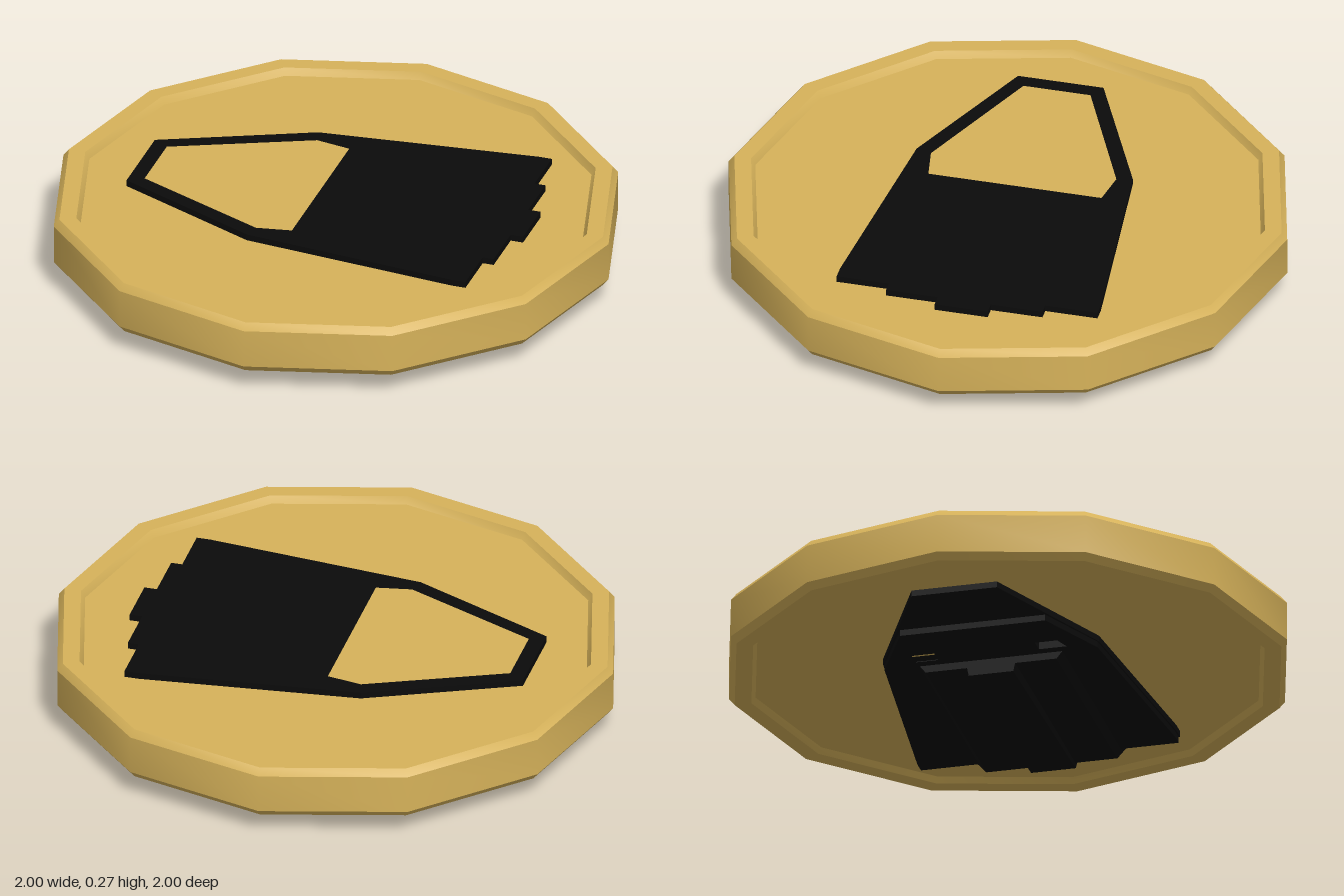
import * as THREE from 'three';
import { toCreasedNormals } from 'three/addons/utils/BufferGeometryUtils.js';

const gold = new THREE.MeshStandardMaterial({ color: 0xd6b25a });
const black = new THREE.MeshStandardMaterial({ color: 0x0b0b0b });
const MID_Z = -0.01; // centre line of the reliefs

// Closed outline from half of its corners, mirrored across the centre line
function mirrored(half, Type = THREE.Shape) {
  const pts = half.map(([x, z]) => new THREE.Vector2(x, MID_Z + z));
  const other = half.map(([x, z]) => new THREE.Vector2(x, MID_Z - z)).reverse();
  return new Type([...pts, ...other]);
}

// Flat plate lying between two heights
function plate(name, shape, bottom, top) {
  const geo = new THREE.ExtrudeGeometry(shape, { depth: top - bottom, bevelEnabled: false });
  geo.rotateX(Math.PI / 2).translate(0, top, 0);
  const mesh = new THREE.Mesh(geo, black);
  mesh.name = name;
  return mesh;
}

// Raised block with a narrower underside that slopes from y0 (at x0) to y1 (at x1)
function keel(name, x0, x1, halfTop, halfBottom, y0, y1, top) {
  const geo = new THREE.BoxGeometry(1, 1, 1);
  const p = geo.attributes.position;
  for (let i = 0; i < p.count; i++) {
    const low = p.getY(i) < 0, back = p.getX(i) > 0;
    const half = low ? halfBottom : halfTop;
    p.setXYZ(i, back ? x1 : x0, low ? (back ? y1 : y0) : top, MID_Z + Math.sign(p.getZ(i)) * half);
  }
  geo.computeVertexNormals();
  const mesh = new THREE.Mesh(geo, black);
  mesh.name = name;
  return mesh;
}

export function createModel() {
  const group = new THREE.Group();

  // Twelve-sided disc with chamfered rims and recessed faces
  const profile = [
    [0, 0.1], [0.905, 0.1], [0.92, 0.08], [0.98, 0.08], [1, 0.105],
    [1, 0.245], [0.98, 0.27], [0.92, 0.27], [0.905, 0.245], [0, 0.245],
  ].map(([r, y]) => new THREE.Vector2(r, y));
  const disc = new THREE.Mesh(toCreasedNormals(new THREE.LatheGeometry(profile, 12), 0.6), gold);
  disc.name = 'disc';
  group.add(disc);

  // Half outline shared by both reliefs: shoulder and stepped tail
  const tail = [
    [-0.2, 0.387], [0.58, 0.467], [0.63, 0.467], [0.63, 0.28],
    [0.67, 0.28], [0.67, 0.095], [0.715, 0.095],
  ];
  const nose = [-0.72, 0.153];

  // Upper relief with its open window
  const upper = mirrored([nose, ...tail]);
  upper.holes.push(mirrored([[-0.665, 0.12], [-0.185, 0.332], [-0.06, 0.31]], THREE.Path));
  group.add(plate('upperRelief', upper, 0.24, 0.268));

  // Lower relief: full plate and a shorter one below it, both pierced by two slots
  const addSlots = (shape) => {
    for (const s of [-1, 1]) {
      shape.holes.push(new THREE.Path([
        [-0.29, 0.18], [-0.235, 0.18], [-0.235, 0.28], [-0.29, 0.26],
      ].map(([x, z]) => new THREE.Vector2(x, MID_Z + s * z))));
    }
    return shape;
  };
  group.add(plate('lowerRelief', addSlots(mirrored([nose, ...tail])), 0.078, 0.105));
  const short = tail.slice(0, 4).map(([x, z]) => [x, z - 0.005]);
  group.add(plate('lowerReliefStep', addSlots(mirrored([[-0.46, 0.26], ...short])), 0.056, 0.079));

  // Stacked keel blocks under the lower relief
  group.add(keel('wideKeel', -0.2, 0.66, 0.27, 0.235, 0.03, 0.036, 0.075));
  group.add(keel('centreKeel', -0.2, 0.68, 0.095, 0.08, 0, 0.025, 0.075));

  return group;
}
